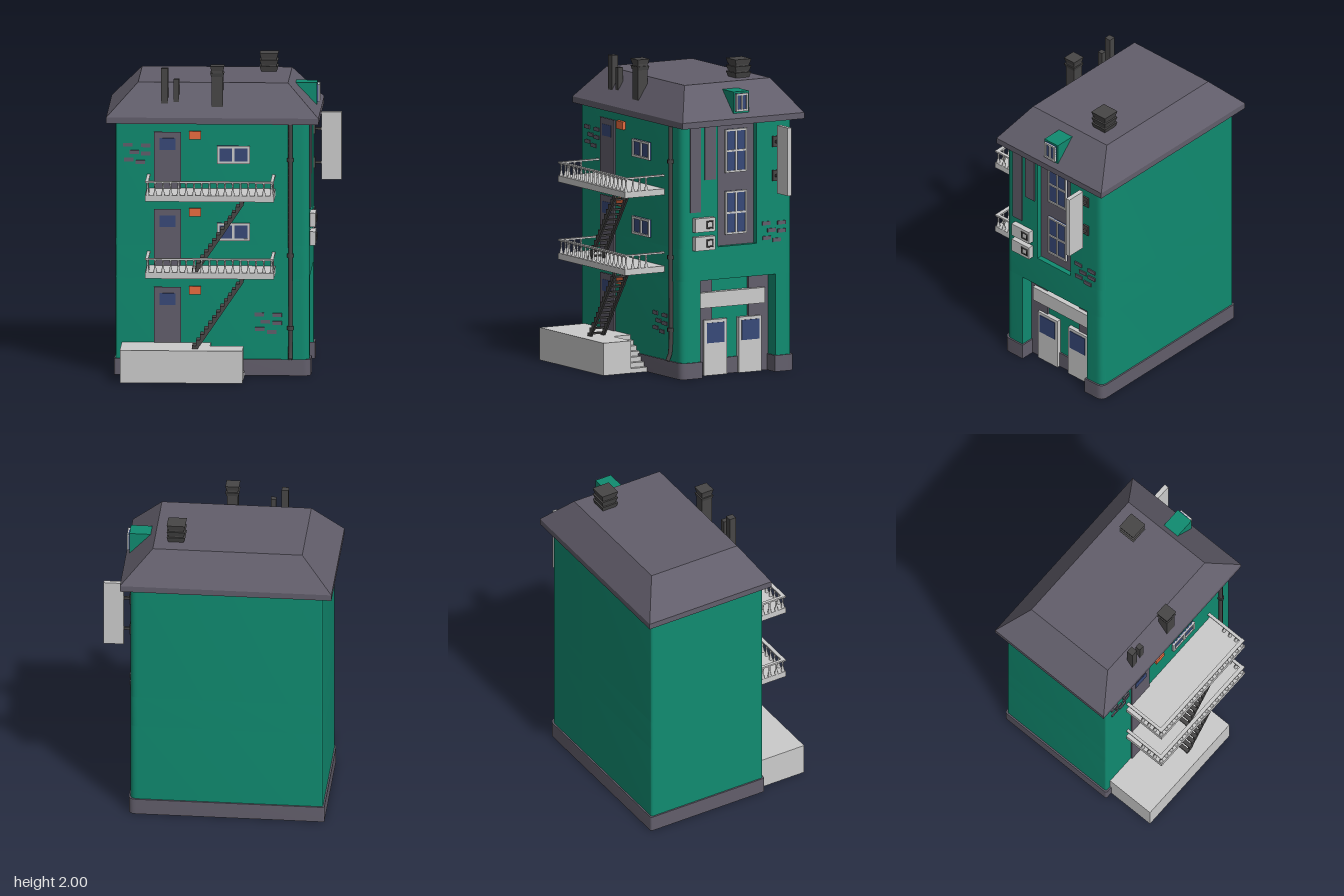
import * as THREE from 'three';
import { toCreasedNormals } from 'three/addons/utils/BufferGeometryUtils.js';

const mat = (color, side = THREE.FrontSide) => new THREE.MeshStandardMaterial({ color, side });
const GREEN = mat(0x108b70), WALL = mat(0x108b70, THREE.DoubleSide), SLATE = mat(0x625e6b);
const GLASS = mat(0x384978), IRON = mat(0x474646), LAMP = mat(0xe86c40), GREY = mat(0xcccccc);

export function createModel() {
  const root = new THREE.Group();
  root.name = 'house';

  const add = (name, geo, material, parent = root) => {
    const m = new THREE.Mesh(geo, material);
    m.name = name;
    parent.add(m);
    return m;
  };
  // Box given by its ranges
  const box = (name, material, x0, x1, y0, y1, z0, z1, parent = root) => {
    const m = add(name, new THREE.BoxGeometry(x1 - x0, y1 - y0, z1 - z0), material, parent);
    m.position.set((x0 + x1) / 2, (y0 + y1) / 2, (z0 + z1) / 2);
    return m;
  };
  const group = (name, x = 0, y = 0, z = 0, parent = root) => {
    const g = new THREE.Group();
    g.name = name;
    g.position.set(x, y, z);
    parent.add(g);
    return g;
  };

  // Floor plan (drawn with -z as its second axis), with an optional notch in the +x wall
  function plan(grow, notch) {
    const x0 = -0.68 - grow, x1 = 0.56 + grow, s0 = -0.27 - grow, s1 = 0.56 + grow, r = 0.05, a = 0.015;
    const s = new THREE.Shape();
    s.moveTo(x0 + a, s0);
    s.lineTo(x1 - r, s0);
    s.quadraticCurveTo(x1, s0, x1, s0 + r);
    if (notch) {
      const [xi, n0, n1] = [notch[0] + grow, notch[1] + grow, notch[2] - grow];
      s.lineTo(x1, n0); s.lineTo(xi, n0); s.lineTo(xi, n1); s.lineTo(x1, n1);
    }
    s.lineTo(x1, s1 - r);
    s.quadraticCurveTo(x1, s1, x1 - r, s1);
    s.lineTo(x0 + a, s1);
    s.quadraticCurveTo(x0, s1, x0, s1 - a);
    s.lineTo(x0, s0 + a);
    s.quadraticCurveTo(x0, s0, x0 + a, s0);
    return s;
  }
  const raise = (shape, y0, y1) => new THREE.ExtrudeGeometry(shape, { depth: y1 - y0, bevelEnabled: false, curveSegments: 6 })
    .rotateX(-Math.PI / 2).translate(0, y0, 0);

  // Hollow walls: only the sides of each storey band are kept
  function wallBand(name, notch, y0, y1) {
    const src = raise(plan(0, notch), y0, y1), side = src.groups[1];
    const geo = new THREE.BufferGeometry();
    const p = src.attributes.position.array.slice(side.start * 3, (side.start + side.count) * 3);
    geo.setAttribute('position', new THREE.BufferAttribute(p, 3));
    add(name, toCreasedNormals(geo, 0.6), WALL);
  }
  const niche = [0.46, -0.13, 0.43], recess = [0.52, 0, 0.29];
  wallBand('lowerWalls', niche, 0.1, 0.63);
  wallBand('middleWalls', null, 0.63, 0.84);
  wallBand('upperWalls', recess, 0.84, 1.65);
  box('nicheCeiling', GREEN, 0.455, 0.559, 0.63, 0.64, -0.43, 0.13);
  box('recessSill', GREEN, 0.515, 0.559, 0.83, 0.84, -0.29, 0);

  // Plinth ring
  const ring = plan(0.01, niche);
  ring.holes.push(plan(-0.005, niche));
  add('plinth', toCreasedNormals(raise(ring, 0, 0.105), 0.6), SLATE);

  // Hipped roof with a flat deck, lofted through rectangular sections
  {
    const levels = [[1.63, -0.74, 0.62, -0.61, 0.3], [1.67, -0.74, 0.62, -0.61, 0.3], [1.88, -0.54, 0.42, -0.475, 0.165]];
    const pos = [], idx = [];
    for (const [y, x0, x1, z0, z1] of levels) pos.push(x0, y, z1, x1, y, z1, x1, y, z0, x0, y, z0);
    for (let l = 0; l < 2; l++) for (let i = 0; i < 4; i++) {
      const a = l * 4 + i, b = l * 4 + (i + 1) % 4;
      idx.push(a, b, b + 4, a, b + 4, a + 4);
    }
    idx.push(8, 9, 10, 8, 10, 11, 0, 2, 1, 0, 3, 2);
    const geo = new THREE.BufferGeometry();
    geo.setAttribute('position', new THREE.Float32BufferAttribute(pos, 3));
    geo.setIndex(idx);
    const flat = geo.toNonIndexed();
    flat.computeVertexNormals();
    add('roof', flat, SLATE);
  }

  // Framed window facing +z, centred on its group
  function windowUnit(name, w, h, cols, rows, x, y, z, turned, bar = 0.012) {
    const g = group(name, x, y, z);
    if (turned) g.rotation.y = Math.PI / 2;
    box('glass', GLASS, -w / 2, w / 2, -h / 2, h / 2, -0.005, 0.005, g);
    for (let i = 0; i <= cols; i++) {
      const c = -w / 2 + bar / 2 + i * (w - bar) / cols;
      box('upright', GREY, c - bar / 2, c + bar / 2, -h / 2, h / 2, 0, 0.014, g);
    }
    for (let i = 0; i <= rows; i++) {
      const c = -h / 2 + bar / 2 + i * (h - bar) / rows;
      box('crossbar', GREY, -w / 2, w / 2, c - bar / 2, c + bar / 2, 0, 0.013, g);
    }
  }
  for (const y of [0.93, 1.43]) windowUnit('frontWindow', 0.21, 0.115, 2, 1, 0.075, y, 0.274, false, 0.015);
  box('windowPanel', SLATE, 0.515, 0.525, 0.84, 1.64, -0.289, -0.001);
  for (const y of [1.05, 1.45]) windowUnit('sideWindow', 0.16, 0.28, 2, 2, 0.528, y, -0.15, true);

  // Dormer
  box('dormer', GREEN, 0.42, 0.595, 1.7, 1.84, -0.21, -0.095);
  windowUnit('dormerWindow', 0.09, 0.115, 2, 1, 0.598, 1.77, -0.152, true);

  // Chimneys and vents
  box('tallVent', IRON, -0.39, -0.345, 1.7, 1.98, 0.2, 0.245);
  box('shortVent', IRON, -0.31, -0.275, 1.7, 1.91, 0.205, 0.24);
  function chimney(name, x, z, w, y0, bands) {
    const g = group(name, x, 0, z), c = w * 0.4;
    box('stack', IRON, -c, c, y0, 1.985, -c, c, g);
    for (const [b0, b1] of bands) {
      const band = add('band', new THREE.CylinderGeometry(w * 0.7, w * 0.6, b1 - b0, 4).rotateY(Math.PI / 4).toNonIndexed(), IRON, g);
      band.geometry.computeVertexNormals();
      band.position.y = (b0 + b1) / 2;
    }
  }
  chimney('frontChimney', -0.03, 0.225, 0.09, 1.735, [[1.93, 1.955], [1.97, 2]]);
  chimney('rearChimney', 0.28, -0.325, 0.12, 1.86, [[1.885, 1.915], [1.925, 1.955], [1.965, 2]]);

  // Front doors with lamps, one per floor
  for (const y of [0.2, 0.705, 1.205]) {
    const top = y === 0.2 ? 0.57 : y === 0.705 ? 1.075 : 1.575;
    box('frontDoor', SLATE, -0.435, -0.26, y, top, 0.25, 0.28);
    box('doorGlass', GLASS, -0.4, -0.297, top - 0.115, top - 0.04, 0.27, 0.283);
    box('lamp', LAMP, -0.21, -0.133, top - 0.045, top + 0.007, 0.25, 0.295);
  }

  // Balconies
  const balusterShape = [[0.014, 0], [0.012, 0.015], [0.007, 0.035], [0.006, 0.06], [0.009, 0.09]].map(p => new THREE.Vector2(...p));
  const baluster = new THREE.LatheGeometry(balusterShape, 6);
  for (const y of [0.67, 1.17]) {
    const g = group('balcony', 0, y, 0);
    box('floor', GREY, -0.48, 0.345, 0, 0.04, 0.26, 0.565, g);
    box('frontRail', GREY, -0.48, 0.345, 0.12, 0.131, 0.54, 0.565, g);
    for (let i = 0; i < 17; i++) add('baluster', baluster, GREY, g).position.set(-0.465 + i * 0.795 / 16, 0.035, 0.55);
    for (const x of [-0.468, 0.333]) {
      box('sideRail', GREY, x - 0.01, x + 0.01, 0.12, 0.131, 0.27, 0.56, g);
      for (const z of [0.5, 0.45, 0.4]) add('baluster', baluster, GREY, g).position.set(x, 0.035, z);
    }
  }

  // Iron stairs between the floors
  const STEPS = 13, run = 0.33 / STEPS, rise = 0.475 / STEPS;
  const saw = new THREE.Shape();
  saw.moveTo(0, 0);
  for (let i = 0; i < STEPS; i++) {
    saw.lineTo(i * run, (i + 0.7) * rise);
    saw.lineTo((i + 1) * run, (i + 0.7) * rise);
  }
  saw.lineTo(0.33, 0.475 - rise);
  saw.lineTo(run, -0.3 * rise);
  const stringer = new THREE.ExtrudeGeometry(saw, { depth: 0.014, bevelEnabled: false });
  for (const y of [0.205, 0.705]) {
    const g = group('ironStairs', -0.18, y, 0);
    for (const z of [0.415, 0.512]) add('stringer', stringer, IRON, g).position.z = z;
    for (let i = 0; i < STEPS; i++)
      box('tread', IRON, i * run, (i + 1) * run, (i + 0.4) * rise, (i + 0.7) * rise, 0.42, 0.52, g);
  }

  // Entrance platform with steps along the wall
  box('platform', GREY, -0.64, 0.145, 0, 0.21, 0.4, 0.605);
  box('platformBack', GREY, -0.64, -0.07, 0, 0.21, 0.25, 0.4);
  for (let i = 0; i < 6; i++) box('step', GREY, -0.07 + i * 0.036, -0.034 + i * 0.036, 0, 0.18 - i * 0.03, 0.25, 0.4);

  // Drainpipe
  const pipe = new THREE.CatmullRomCurve3([[1.64, 0.283], [0.9, 0.283], [0.18, 0.283], [0.14, 0.29], [0.11, 0.305]]
    .map(([y, z]) => new THREE.Vector3(0.44, y, z)), false, 'centripetal');
  add('drainpipe', new THREE.TubeGeometry(pipe, 32, 0.014, 8), mat(0x474646, THREE.DoubleSide));
  for (const y of [0.31, 0.78, 1.4]) add('pipeJoint', new THREE.CylinderGeometry(0.021, 0.021, 0.025, 8), IRON).position.set(0.44, y, 0.283);

  // Niche: dark panels, fascia board and two glazed doors
  for (const [z0, z1] of [[-0.01, 0.129], [-0.429, -0.28]]) box('nichePanel', SLATE, 0.45, 0.473, 0, 0.63, z0, z1);
  box('fascia', GREY, 0.45, 0.5, 0.44, 0.54, -0.39, 0.095);
  for (const z of [-0.025, -0.285]) {
    box('sideDoor', GREY, 0.44, 0.49, 0, 0.36, z - 0.085, z + 0.085);
    box('sideDoorGlass', GLASS, 0.45, 0.494, 0.21, 0.34, z - 0.065, z + 0.065);
  }

  // Side wall fittings: strips, cooling units, hanging board
  box('longStrip', SLATE, 0.55, 0.568, 1.075, 1.64, 0.13, 0.21);
  box('shortStrip', SLATE, 0.55, 0.568, 1.28, 1.64, 0.02, 0.1);
  for (const y of [0.83, 0.95]) {
    box('coolingUnit', GREY, 0.55, 0.597, y, y + 0.09, 0.04, 0.19);
    const fan = add('fanFrame', new THREE.TorusGeometry(0.03, 0.007, 4, 4).rotateZ(Math.PI / 4).rotateY(Math.PI / 2), IRON);
    fan.position.set(0.597, y + 0.045, 0.08);
  }
  box('hangingBoard', GREY, 0.61, 0.74, 1.16, 1.6, -0.443, -0.413);
  for (const y of [1.27, 1.49]) {
    box('bracketPlate', IRON, 0.555, 0.572, y - 0.035, y + 0.035, -0.45, -0.406);
    box('bracketArm', IRON, 0.56, 0.615, y - 0.008, y + 0.008, -0.436, -0.42);
  }

  // Patches of bare brick
  const bricks = [[-0.08, 0.055], [0.035, 0.052], [-0.04, 0.008], [0.035, 0], [-0.075, -0.04], [0, -0.057]];
  function brickPatch(x, y, z, turned) {
    const g = group('brickPatch', x, y, z);
    if (turned) g.rotation.y = Math.PI / 2;
    for (const [bx, by] of bricks) box('brick', SLATE, bx - 0.001, bx + 0.059, by - 0.012, by + 0.012, -0.01, 0.008, g);
  }
  brickPatch(-0.55, 1.435, 0.27, false);
  brickPatch(0.29, 0.34, 0.27, false);
  brickPatch(0.56, 0.91, -0.41, true);

  return root;
}
